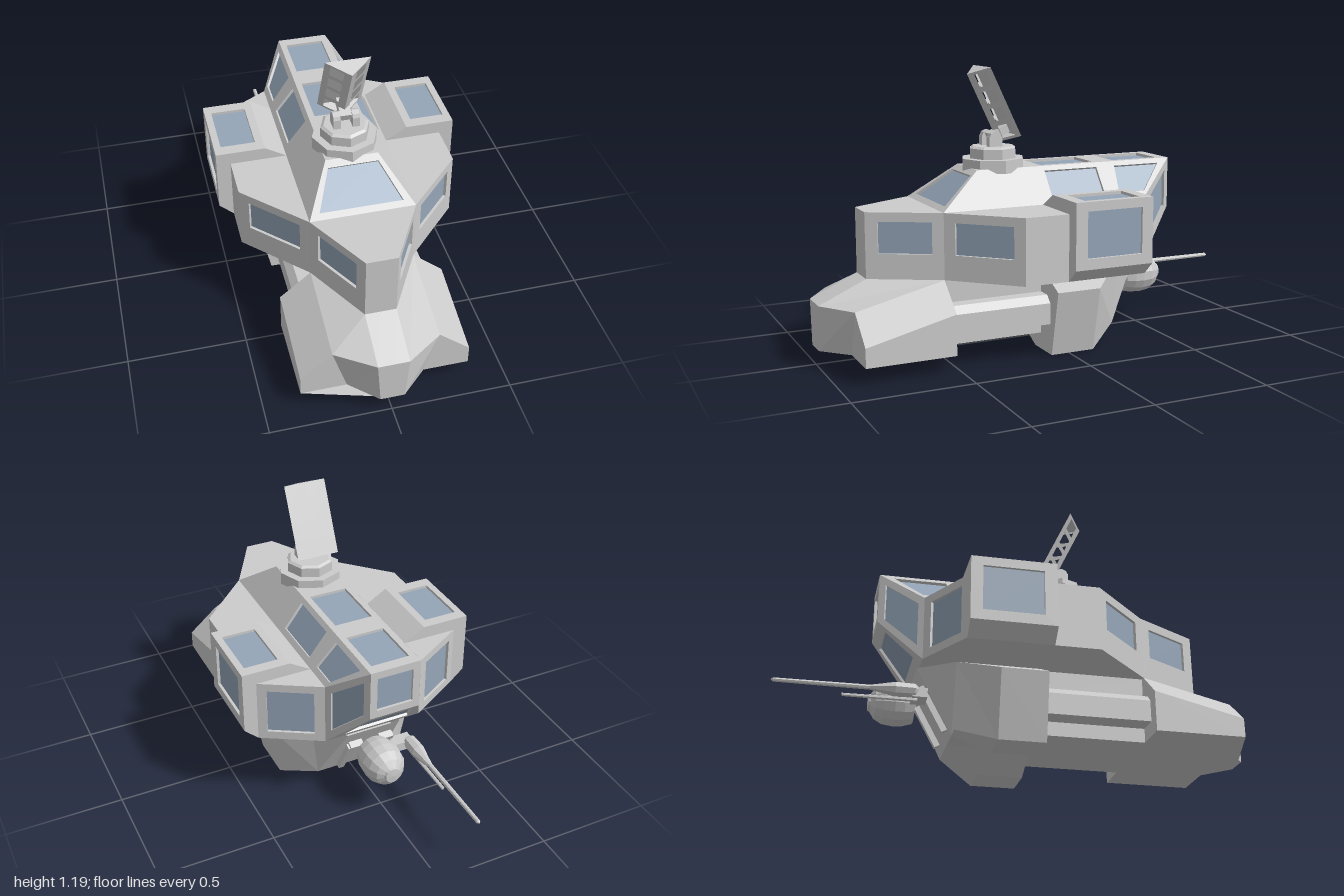
import * as THREE from 'three';

const hullMat = new THREE.MeshStandardMaterial({ color: 0xcccccc, flatShading: true, side: THREE.DoubleSide });
const glassMat = new THREE.MeshStandardMaterial({ color: 0x94a5b8, flatShading: true });
const V = (p) => new THREE.Vector3(...p);

function geometryOf(points) {
  const g = new THREE.BufferGeometry().setFromPoints(points);
  g.computeVertexNormals();
  return g;
}

// Adds one flat panel, turned away from `centre`. win = [u0, u1, v0, v1] cuts a
// window into a four-cornered panel; depth 0 leaves it as an open hole.
function addFacet(out, corners, win, centre, depth = 0.012) {
  let p = corners.map(V), hole = null;
  if (win) {
    const at = (u, v) => p[0].clone().lerp(p[1], u).lerp(p[3].clone().lerp(p[2], u), v);
    const [a, b, c, d] = win;
    hole = [at(a, c), at(b, c), at(b, d), at(a, d)];
  }
  const normal = new THREE.Vector3(), mid = new THREE.Vector3();
  p.forEach((q, i) => {
    normal.add(q.clone().cross(p[(i + 1) % p.length]));
    mid.addScaledVector(q, 1 / p.length);
  });
  normal.normalize();
  if (normal.dot(mid.sub(V(centre))) < 0) {
    p.reverse();
    if (hole) hole.reverse();
    normal.negate();
  }
  const fan = (list, q) => { for (let i = 1; i < q.length - 1; i++) list.push(q[0], q[i], q[i + 1]); };
  if (!hole) return fan(out.hull, p);
  const pane = hole.map((q) => q.clone().addScaledVector(normal, -depth));
  for (let i = 0; i < 4; i++) {
    const j = (i + 1) % 4;
    fan(out.hull, [p[i], p[j], hole[j], hole[i]]);
    if (depth) fan(out.hull, [hole[i], hole[j], pane[j], pane[i]]);
  }
  if (depth) fan(out.glass, pane);
}

// Builds a named part from panels [corners, window], mirrored in x if asked.
function panelPart(name, centre, panels, mirror = true, depth) {
  const out = { hull: [], glass: [] };
  for (const s of mirror ? [1, -1] : [1]) {
    const flip = ([x, y, z]) => [x * s, y, z];
    for (const [corners, win] of panels) addFacet(out, corners.map(flip), win, flip(centre), depth);
  }
  const group = new THREE.Group();
  group.name = name;
  for (const [key, mat] of [['hull', hullMat], ['glass', glassMat]]) {
    if (!out[key].length) continue;
    const mesh = new THREE.Mesh(geometryOf(out[key]), mat);
    mesh.name = name + (key === 'hull' ? 'Shell' : 'Windows');
    group.add(mesh);
  }
  return group;
}

function add(parent, name, geo, pos = [0, 0, 0], rot = [0, 0, 0]) {
  const m = new THREE.Mesh(geo, hullMat);
  m.name = name;
  m.position.set(...pos);
  m.rotation.set(...rot);
  parent.add(m);
  return m;
}

export function createModel() {
  const model = new THREE.Group();
  model.name = 'vehicle';

  // Low sloping nose
  model.add(panelPart('nose', [0.1, 0.15, 0.7], [
    [[[0, 0.35, 0.8], [0.065, 0.35, 0.8], [0.065, 0.26, 1], [0, 0.26, 1]]],
    [[[0.065, 0.35, 0.8], [0.22, 0.35, 0.52], [0.22, 0.26, 0.895], [0.065, 0.26, 1]]],
    [[[0.22, 0.35, 0.52], [0.35, 0.24, 0.52], [0.35, 0.15, 0.895], [0.22, 0.26, 0.895]]],
    [[[0.35, 0.24, 0.52], [0.35, 0.07, 0.52], [0.35, 0.07, 0.895], [0.35, 0.15, 0.895]]],
    [[[0.22, 0.26, 0.895], [0.35, 0.15, 0.895], [0.35, 0.07, 0.895], [0.16, 0.07, 0.895]]],
    [[[0.065, 0.26, 1], [0.22, 0.26, 0.895], [0.16, 0.07, 0.895], [0.05, 0.07, 1]]],
    [[[0, 0.26, 1], [0.065, 0.26, 1], [0.05, 0.07, 1], [0, 0.07, 1]]],
    [[[0, 0.07, 0.52], [0.35, 0.07, 0.52], [0.35, 0.07, 0.895], [0.16, 0.07, 0.895], [0.05, 0.07, 1], [0, 0.07, 1]]],
    [[[0, 0.07, 0.52], [0.35, 0.07, 0.52], [0.35, 0.24, 0.52], [0.22, 0.35, 0.52], [0, 0.35, 0.52]]],
  ]));

  // Chassis with side rails between nose and rear hull
  const half = [[0.2, 0.07], [0.2, 0.13], [0.29, 0.13], [0.29, 0.22], [0.26, 0.25], [0.2, 0.25], [0.2, 0.35]];
  const section = [...half, ...half.map(([x, y]) => [-x, y]).reverse()].map(([x, y]) => new THREE.Vector2(x, y));
  add(model, 'chassis', new THREE.ExtrudeGeometry(new THREE.Shape(section), { depth: 0.44, bevelEnabled: false }), [0, 0, 0.08]);

  // Twin-keeled rear hull, lofted through three sections
  const keel = [[0, 0.07], [0.145, 0], [0.305, 0], [0.365, 0.28], [0.22, 0.35]];
  const rings = [0.08, -0.115].map((z) => keel.map(([x, y]) => [x, y, z]));
  rings.push([[0, 0.07], [0.12, 0.07], [0.19, 0.07], [0.22, 0.35], [0.22, 0.35]].map(([x, y]) => [x, y, -0.27]));
  const rear = [[[[0, 0.35, 0.08], ...rings[0]]]];
  for (let r = 0; r < 2; r++)
    for (let i = 0; i < 4; i++) rear.push([[rings[r][i], rings[r][i + 1], rings[r + 1][i + 1], rings[r + 1][i]]]);
  rear.push([[[0, 0.07, -0.27], [0.12, 0.07, -0.27], [0.12, 0.35, -0.42], [0, 0.35, -0.42]]]);
  rear.push([[[0.12, 0.07, -0.27], [0.19, 0.07, -0.27], [0.22, 0.35, -0.27], [0.12, 0.35, -0.42]]]);
  model.add(panelPart('rearHull', [0.13, 0.22, -0.1], rear));

  // Cabin walls, deck and floor
  const plan = [[0.065, 0.8], [0.22, 0.52], [0.46, 0.27], [0.46, -0.27], [0.22, -0.41]];
  const lo = plan.map(([x, z]) => [x, 0.35, z]), hi = plan.map(([x, z]) => [x, 0.625, z]);
  const wins = [[0.16, 0.85, 0.38, 0.86], [0.14, 0.86, 0.38, 0.86], null, [0.14, 0.84, 0.13, 0.87]];
  const walls = wins.map((w, i) => [[lo[i], lo[i + 1], hi[i + 1], hi[i]], w]);
  model.add(panelPart('cabin', [0.1, 0.5, 0.1], [
    ...walls,
    [[[0, 0.35, 0.8], lo[0], hi[0], [0, 0.625, 0.8]]],
    [[[0, 0.625, 0.8], hi[0], hi[1], [0, 0.625, 0.52]]],
    [[hi[1], hi[2], hi[3], hi[4]]],
    [[[0, 0.35, 0.1], [0, 0.35, 0.8], ...lo, [0, 0.35, -0.41]]],
    [[lo[4], [0.11, 0.55, -0.59], [0.11, 0.77, -0.59], hi[4]], [0.13, 0.86, 0.15, 0.85]],
  ]));

  // Raised roof: sloped sides split into three bays
  const bay = [[0.52, 0.33], [0.08, 0.08], [-0.27, -0.27], [-0.41, -0.59]];
  const slopes = [null, [0.15, 0.86, 0.15, 0.87], [0.13, 0.87, 0.15, 0.87]].map((w, i) => [[
    [0.22, 0.625, bay[i][0]], [0.22, 0.625, bay[i + 1][0]], [0.11, 0.77, bay[i + 1][1]], [0.11, 0.77, bay[i][1]]], w]);
  model.add(panelPart('roofSlopes', [0, 0.55, 0], slopes));

  // Windshield, roof top and tail glazing across the centre line
  const across = (x0, y0, z0, x1, y1, z1) => [[-x0, y0, z0], [x0, y0, z0], [x1, y1, z1], [-x1, y1, z1]];
  model.add(panelPart('roofCentre', [0, 0.6, 0], [
    [across(0.22, 0.625, 0.52, 0.11, 0.77, 0.33), [0.08, 0.92, 0.12, 0.86]],
    [across(0.11, 0.77, 0.33, 0.11, 0.77, 0.08)],
    [across(0.11, 0.77, 0.08, 0.11, 0.77, -0.27), [0.12, 0.88, 0.15, 0.86]],
    [across(0.11, 0.77, -0.27, 0.11, 0.77, -0.59), [0.12, 0.88, 0.16, 0.85]],
    [across(0.11, 0.77, -0.59, 0.11, 0.55, -0.59), [0.14, 0.86, 0.15, 0.85]],
    [across(0.11, 0.55, -0.59, 0.22, 0.35, -0.41), [0.13, 0.87, 0.17, 0.83]],
  ], false));

  // Side bays with windows on top and outside
  const box = [[0.22, 0.35], [0.46, 0.35], [0.52, 0.405], [0.52, 0.68], [0.31, 0.68], [0.22, 0.625]];
  const front = box.map(([x, y]) => [x, y, 0.08]), back = box.map(([x, y]) => [x, y, -0.27]);
  const boxWins = { 2: [0.15, 0.86, 0.16, 0.86], 3: [0.15, 0.86, 0.14, 0.84] };
  model.add(panelPart('sideBays', [0.37, 0.52, -0.1], [
    [front], [back],
    ...box.slice(1).map((_, i) => [[front[i], back[i], back[i + 1], front[i + 1]], boxWins[i]]),
  ]));

  // Turret rings and antenna yoke
  const turret = new THREE.Group();
  turret.name = 'turret';
  model.add(turret);
  add(turret, 'turretBase', new THREE.CylinderGeometry(0.138, 0.138, 0.055, 8), [0, 0.778, 0.212]);
  add(turret, 'turretRing', new THREE.CylinderGeometry(0.103, 0.103, 0.045, 8), [0, 0.825, 0.212]);
  add(turret, 'turretCap', new THREE.CylinderGeometry(0.09, 0.103, 0.009, 8), [0, 0.851, 0.212]);
  for (const s of [1, -1]) {
    add(turret, 'yokeArm', new THREE.BoxGeometry(0.03, 0.045, 0.06), [s * 0.04, 0.875, 0.22]);
    add(turret, 'yokeEar', new THREE.CylinderGeometry(0.03, 0.03, 0.03, 8), [s * 0.04, 0.89, 0.22], [0, 0, Math.PI / 2]);
  }
  add(turret, 'yokeAxle', new THREE.CylinderGeometry(0.018, 0.018, 0.1, 8), [0, 0.9, 0.215], [0, 0, Math.PI / 2]);
  add(turret, 'antennaStem', new THREE.BoxGeometry(0.045, 0.035, 0.09), [0, 0.91, 0.19], [0.4, 0, 0]);

  // Tilted wedge antenna with four open slots on each front face
  const edge = (t) => [0.093, 0.9 + 0.29 * t, 0.12 + 0.138 * t];
  const apex = (t) => [0, 0.868 + 0.29 * t, 0.187 + 0.138 * t];
  const inner = ([, y, z]) => [0, y, z];
  const wedge = [[[apex(0), edge(0), inner(edge(0))]], [[apex(1), edge(1), inner(edge(1))]]];
  for (let i = 0; i < 4; i++) {
    const a = i / 4, b = (i + 1) / 4;
    wedge.push([[apex(a), edge(a), edge(b), apex(b)], [0.27, 0.78, 0.14, 0.86]]);
    wedge.push([[inner(edge(a)), edge(a), edge(b), inner(edge(b))]]);
  }
  turret.add(panelPart('antenna', [0.02, 1.03, 0.21], wedge, true, 0));

  // Tail ball and its mounting rails
  const ball = [[0, 0.2], [0.075, 0.19], [0.087, 0.15], [0.09, 0.11], [0.084, 0.065], [0.065, 0.03], [0.037, 0.012], [0.034, 0.003], [0, 0]]
    .map(([r, h]) => new THREE.Vector2(r, -h));
  add(model, 'tailBall', new THREE.LatheGeometry(ball.reverse(), 14), [0, 0.23, -0.605], [-Math.PI / 2, 0, 0]);
  for (const s of [1, -1]) {
    add(model, 'tailRail', new THREE.BoxGeometry(0.025, 0.2, 0.025), [s * 0.095, 0.18, -0.345], [-0.5, 0, 0]);
    add(model, 'tailBracket', new THREE.BoxGeometry(0.06, 0.02, 0.03), [s * 0.07, 0.27, -0.395], [-0.5, 0, 0]);
  }

  // Offset tail gun: long tapered barrel, short barrel and housing
  const barrel = [[0, 0], [0.009, 0.01], [0.011, 0.39], [0.021, 0.44], [0.032, 0.49], [0.03, 0.57], [0, 0.6]]
    .map(([r, h]) => new THREE.Vector2(r, -h));
  add(model, 'tailGun', new THREE.LatheGeometry(barrel.reverse(), 8), [-0.17, 0.23, -1], [-Math.PI / 2, 0, 0]);
  add(model, 'shortBarrel', new THREE.CylinderGeometry(0.007, 0.009, 0.3, 6), [-0.17, 0.19, -0.57], [-Math.PI / 2, 0, 0]);
  add(model, 'gunMount', new THREE.BoxGeometry(0.09, 0.04, 0.06), [-0.14, 0.22, -0.41]);
  return model;
}
